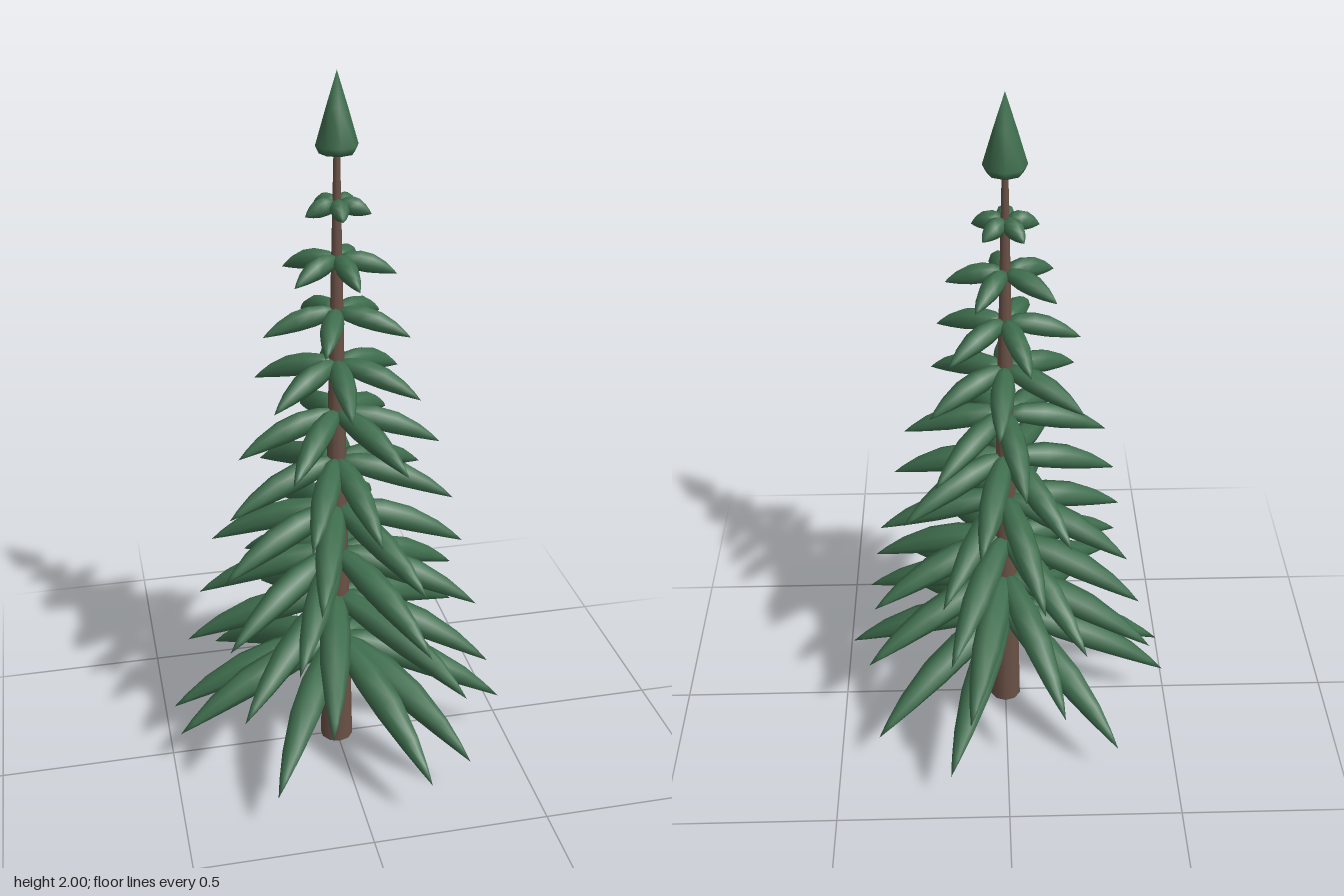
import * as THREE from 'three';
import { mergeVertices } from 'three/addons/utils/BufferGeometryUtils.js';

const needleGreen = new THREE.MeshStandardMaterial({ color: 0x3f6e4e });
needleGreen.name = 'needleGreen';
const barkBrown = new THREE.MeshStandardMaterial({ color: 0x6a5146 });
barkBrown.name = 'barkBrown';

// One tier per entry: reach of the tips, tip height, and bough headings in degrees (+x towards +z)
const TIERS = [
  { reach: 0.488, tipY: 0.13, headings: [11.5, 51, 69, 121, 170, 186, 229, 290, 321] },
  { reach: 0.446, tipY: 0.31, headings: [21, 47, 103, 136, 197, 249, 284, 335] },
  { reach: 0.404, tipY: 0.48, headings: [16, 62, 116, 148, 197, 237, 293, 341] },
  { reach: 0.365, tipY: 0.65, headings: [5, 60, 108, 159, 200, 254, 299] },
  { reach: 0.326, tipY: 0.82, headings: [14, 80, 113, 165, 238, 283, 330] },
  { reach: 0.285, tipY: 0.985, headings: [10, 60, 125, 170, 260, 312] },
  { reach: 0.238, tipY: 1.15, headings: [32, 92, 145, 210, 275, 328] },
  { reach: 0.2, tipY: 1.315, headings: [25, 110, 178, 252, 318] },
  { reach: 0.157, tipY: 1.475, headings: [10, 80, 145, 215, 300] },
  { reach: 0.09, tipY: 1.64, headings: [20, 92, 165, 240, 310] },
];

// Spindle profile: [distance along the bough, relative thickness]
const PROFILE = [[0, 0], [0, 0.5], [0.1, 0.78], [0.3, 1], [0.52, 0.95], [0.75, 0.62], [0.9, 0.28], [1, 0]];

// Welded lathe with smooth normals
function smoothLathe(points, sides) {
  let geometry = new THREE.LatheGeometry(points.map(([r, y]) => new THREE.Vector2(r, y)), sides);
  geometry.deleteAttribute('uv');
  geometry.deleteAttribute('normal');
  geometry = mergeVertices(geometry, 1e-5);
  geometry.computeVertexNormals();
  return geometry;
}

// Arched spindle along +x, drooping from the trunk to its tip
function boughGeometry(reach, drop, thickness) {
  const length = Math.hypot(reach, drop);
  const geometry = smoothLathe(PROFILE.map(([t, r]) => [r * thickness, t * length]), 8);
  geometry.rotateZ(-Math.PI / 2);
  const p = geometry.attributes.position;
  for (let i = 0; i < p.count; i++) {
    const t = p.getX(i) / length;
    p.setY(i, p.getY(i) + 0.22 * length * t * (1 - t));
  }
  geometry.rotateZ(-Math.atan2(drop, reach));
  geometry.computeVertexNormals();
  return geometry;
}

export function createModel() {
  const tree = new THREE.Group();
  tree.name = 'firTree';

  // Tapered trunk
  const trunk = new THREE.Mesh(new THREE.CylinderGeometry(0.008, 0.048, 1.82, 10), barkBrown);
  trunk.name = 'trunk';
  trunk.position.y = 0.91;
  tree.add(trunk);

  // Tiers of drooping boughs
  TIERS.forEach(({ reach, tipY, headings }, i) => {
    const tier = new THREE.Group();
    tier.name = `boughTier${i + 1}`;
    const baseY = 0.345 + i * 0.1465;
    const start = 0.018 - i * 0.001;
    const geometry = boughGeometry(reach - start, baseY - tipY, 0.046 - i * 0.0023);
    for (const degrees of headings) {
      const angle = THREE.MathUtils.degToRad(degrees);
      const bough = new THREE.Mesh(geometry, needleGreen);
      bough.name = 'bough';
      bough.position.set(start * Math.cos(angle), baseY, start * Math.sin(angle));
      bough.rotation.y = -angle;
      tier.add(bough);
    }
    tree.add(tier);
  });

  // Pointed crown with a bevelled underside
  const crown = new THREE.Mesh(
    smoothLathe([[0, 1.805], [0.046, 1.795], [0.056, 1.815], [0.028, 1.91], [0, 2]], 8), needleGreen);
  crown.name = 'crown';
  tree.add(crown);

  return tree;
}
